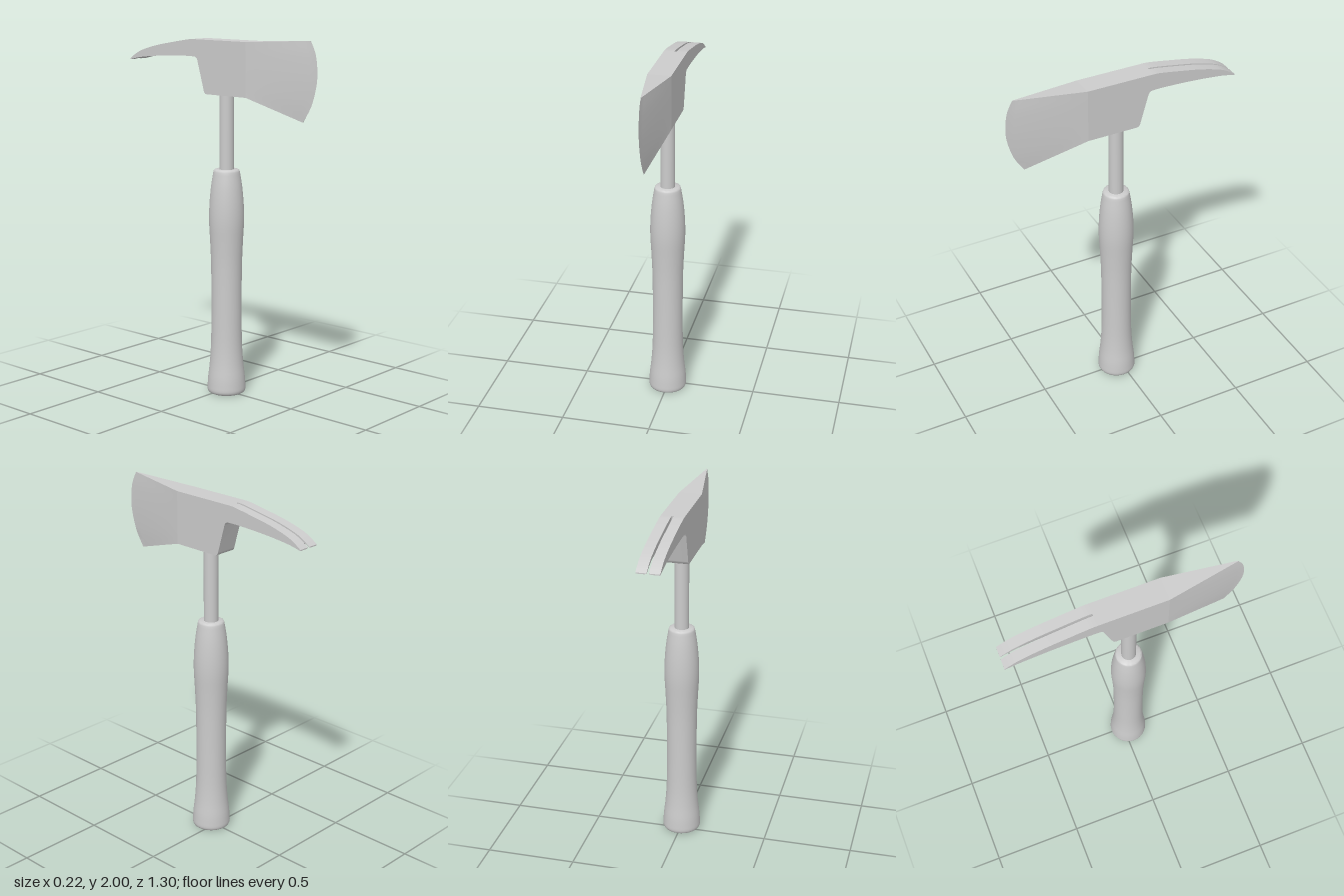
import * as THREE from 'three';
import { toCreasedNormals } from 'three/addons/utils/BufferGeometryUtils.js';

const material = new THREE.MeshStandardMaterial({ color: 0xcccccc });
const HALF = 0.063; // half the thickness of the head
const AXIS_Z = 0.03; // shaft and grip sit slightly towards the blade

function addMesh(group, name, geometry) {
  const mesh = new THREE.Mesh(geometry, material);
  mesh.name = name;
  group.add(mesh);
  return mesh;
}

// Skin a list of closed rings of [x, y, z] corners (counter-clockwise seen
// from +z, rings running from -z to +z) and cap both ends.
function loft(rings, crease = 0.5) {
  const n = rings[0].length;
  const index = [];
  for (let i = 0; i < rings.length - 1; i++) {
    for (let j = 0; j < n; j++) {
      const a = i * n + j, b = i * n + (j + 1) % n;
      index.push(a, b, b + n, a, b + n, a + n);
    }
  }
  const last = (rings.length - 1) * n;
  for (let j = 1; j < n - 1; j++) {
    index.push(0, j + 1, j);
    index.push(last, last + j, last + j + 1);
  }
  const geometry = new THREE.BufferGeometry();
  geometry.setAttribute('position', new THREE.Float32BufferAttribute(rings.flat(2), 3));
  geometry.setIndex(index);
  return toCreasedNormals(geometry, crease);
}

function curve2(points) {
  return new THREE.SplineCurve(points.map(([a, b]) => new THREE.Vector2(a, b)));
}

// Blade: rectangular root narrowing to a curved cutting edge
function bladeGeometry() {
  const edge = curve2([[0.56, 1.575], [0.612, 1.66], [0.643, 1.76], [0.65, 1.84], [0.638, 1.93], [0.605, 2.0]]);
  const rows = 20, steps = 10, rings = [];
  const edgePoints = edge.getPoints(rows);
  for (let i = 0; i <= steps; i++) {
    const t = i / steps;
    const x = THREE.MathUtils.lerp(HALF, 0.0015, t);
    const side = edgePoints.map((p, k) => [
      THREE.MathUtils.lerp(1.685, 1.98, k / rows) * (1 - t) + p.y * t,
      THREE.MathUtils.lerp(0.22, p.x, t),
    ]);
    const right = side.map(([y, z]) => [x, y, z]);
    const left = side.map(([y, z]) => [-x, y, z]).reverse();
    rings.push([...right, ...left]);
  }
  return loft(rings);
}

// Body: side outline extruded across the thickness
function bodyGeometry() {
  const s = new THREE.Shape();
  s.moveTo(0.22, 1.98);
  s.lineTo(-0.16, 1.98);
  s.lineTo(-0.16, 1.886);
  s.quadraticCurveTo(-0.134, 1.888, -0.128, 1.865);
  s.lineTo(-0.082, 1.705);
  s.quadraticCurveTo(-0.077, 1.685, -0.06, 1.685);
  s.lineTo(0.22, 1.685);
  const geometry = new THREE.ExtrudeGeometry(s, { depth: 2 * HALF, bevelEnabled: false, curveSegments: 6 });
  geometry.translate(0, 0, -HALF);
  geometry.rotateY(-Math.PI / 2); // outline x becomes z
  return toCreasedNormals(geometry, 0.5);
}

// One claw prong, its inner face bevelled so the slot widens underneath
function clawGeometry(sign) {
  const top = curve2([[-0.16, 1.98], [-0.2, 1.977], [-0.31, 1.959], [-0.44, 1.935], [-0.55, 1.905], [-0.605, 1.88], [-0.648, 1.852]]);
  const under = curve2([[-0.16, 1.886], [-0.2, 1.887], [-0.31, 1.884], [-0.44, 1.876], [-0.55, 1.865], [-0.605, 1.856], [-0.648, 1.846]]);
  const steps = 24, rings = [];
  for (let i = steps; i >= 0; i--) {
    const a = top.getPoint(i / steps), b = under.getPoint(i / steps);
    const corners = [
      [HALF, b.y, b.x],
      [HALF, a.y, a.x],
      [0.006, a.y, a.x],
      [0.006, THREE.MathUtils.lerp(b.y, a.y, 0.5), (a.x + b.x) / 2],
      [0.018, b.y, b.x],
    ];
    rings.push(sign > 0 ? corners : corners.map(([x, y, z]) => [-x, y, z]).reverse());
  }
  return loft(rings);
}

// Grip: turned profile, flared at the butt and swelling near the top
function gripGeometry() {
  const swell = curve2([
    [0.108, 0.025], [0.104, 0.09], [0.094, 0.18], [0.087, 0.3], [0.085, 0.5], [0.086, 0.72],
    [0.091, 0.86], [0.097, 0.98], [0.095, 1.08], [0.086, 1.18], [0.073, 1.262],
  ]).getPoints(40);
  const profile = [
    new THREE.Vector2(0, 0), new THREE.Vector2(0.094, 0), new THREE.Vector2(0.103, 0.006),
    new THREE.Vector2(0.107, 0.015), ...swell,
    new THREE.Vector2(0.07, 1.271), new THREE.Vector2(0.063, 1.275), new THREE.Vector2(0, 1.275),
  ];
  return toCreasedNormals(new THREE.LatheGeometry(profile, 32), 0.75);
}

export function createModel() {
  const model = new THREE.Group();
  model.name = 'hatchet';

  const head = new THREE.Group();
  head.name = 'head';
  addMesh(head, 'blade', bladeGeometry());
  addMesh(head, 'headBody', bodyGeometry());
  addMesh(head, 'leftClaw', clawGeometry(1));
  addMesh(head, 'rightClaw', clawGeometry(-1));
  model.add(head);

  const shaft = addMesh(model, 'shaft', new THREE.CylinderGeometry(0.04, 0.04, 0.48, 32));
  shaft.position.set(0, 1.48, AXIS_Z);

  const grip = addMesh(model, 'grip', gripGeometry());
  grip.position.z = AXIS_Z;

  return model;
}
